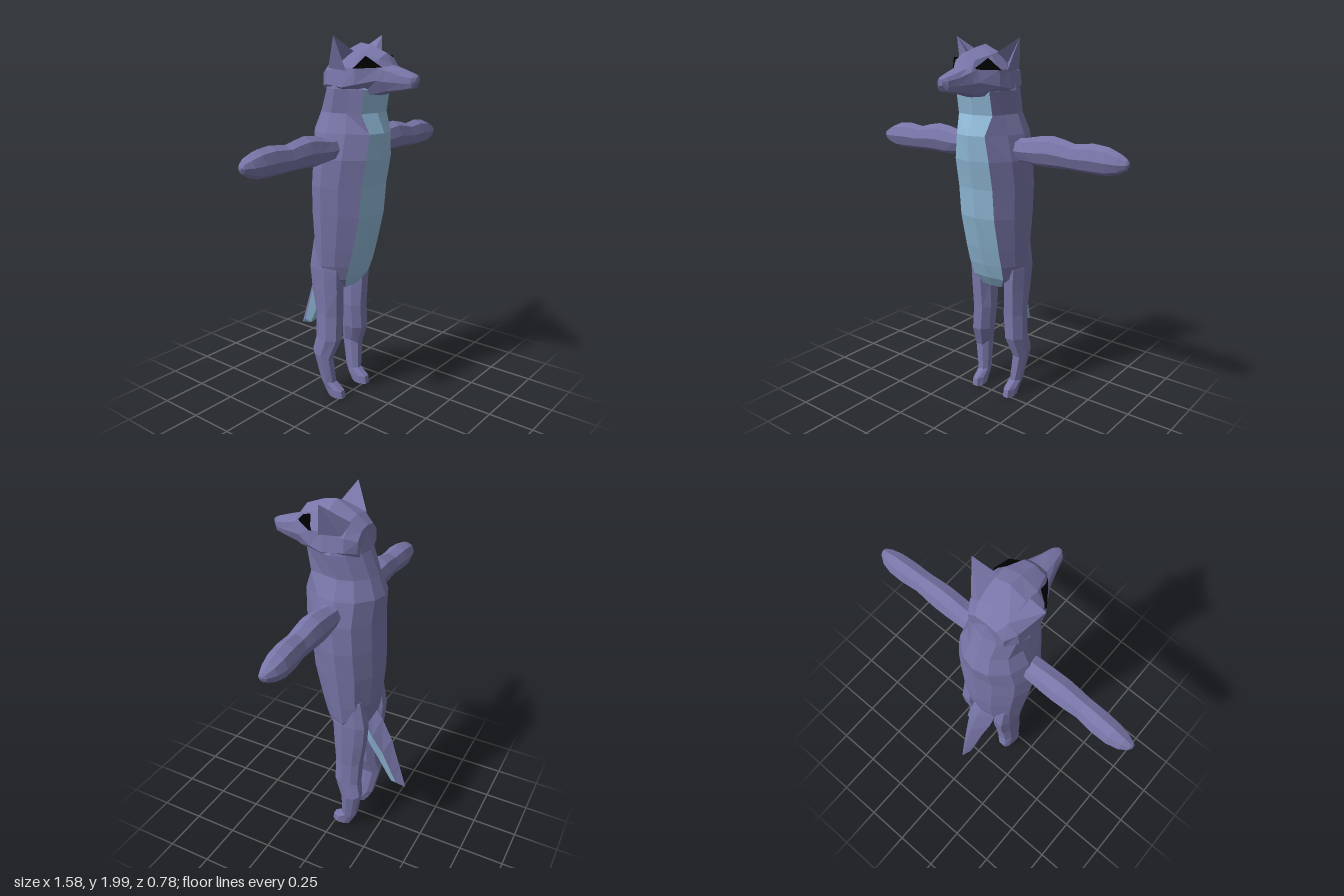
import * as THREE from 'three';

const mat = (color) => new THREE.MeshStandardMaterial({ color, flatShading: true, side: THREE.DoubleSide });

// Skins closed rings of [x, y, z]; returns outward-facing triangles tagged by column (-1 first cap, -2 last cap)
function loft(rings) {
  const n = rings[0].length, tris = [];
  const add = (col, a, b, c) => tris.push({ col, p: [a, b, c] });
  for (let i = 0; i + 1 < rings.length; i++) {
    for (let j = 0; j < n; j++) {
      const k = (j + 1) % n, A = rings[i], B = rings[i + 1];
      add(j, A[j], A[k], B[k]);
      add(j, A[j], B[k], B[j]);
    }
  }
  const cap = (ring, col, flip) => {
    const c = [0, 1, 2].map((a) => ring.reduce((s, p) => s + p[a], 0) / n);
    ring.forEach((p, j) => {
      const q = ring[(j + 1) % n];
      flip ? add(col, c, q, p) : add(col, c, p, q);
    });
  };
  cap(rings[0], -1, true);
  cap(rings[rings.length - 1], -2, false);
  // Signed volume decides the winding
  const v = (a) => new THREE.Vector3(...a);
  const vol = tris.reduce((s, t) => s + v(t.p[0]).dot(v(t.p[1]).cross(v(t.p[2]))), 0);
  if (vol < 0) tris.forEach((t) => t.p.reverse());
  return tris;
}

function skin(name, tris, material, keep = () => true) {
  const g = new THREE.BufferGeometry();
  const pos = tris.filter((t) => keep(t.col)).flatMap((t) => t.p.flat());
  g.setAttribute('position', new THREE.Float32BufferAttribute(pos, 3));
  g.computeVertexNormals();
  const m = new THREE.Mesh(g, material);
  m.name = name;
  return m;
}

// Completes a half section (centre to centre) by mirroring it in x
const mirror = (half) => [...half, ...half.slice(1, -1).reverse().map(([x, y, z]) => [-x, y, z])];

export function createModel() {
  const fur = mat(0x7876a8), pale = mat(0x8fb8d6), black = mat(0x000000);
  const model = new THREE.Group();

  // Torso and neck: height, half width, front z, back z, belly half width
  const torso = loft([
    [1.84, 0.13, 0.1, -0.115, 0.08],
    [1.74, 0.158, 0.175, -0.135, 0.105],
    [1.62, 0.145, 0.155, -0.18, 0.108],
    [1.52, 0.185, 0.2, -0.22, 0.09],
    [1.39, 0.213, 0.19, -0.21, 0.108],
    [1.24, 0.217, 0.16, -0.215, 0.11],
    [1.08, 0.205, 0.145, -0.22, 0.11],
    [0.9, 0.19, 0.1, -0.205, 0.108],
    [0.8, 0.18, 0.07, -0.19, 0.107],
    [0.72, 0.155, 0.04, -0.17, 0.1],
    [0.66, 0.08, 0.0, -0.13, 0.06],
  ].map(([y, w, f, b, p]) => {
    const d = f - b;
    return mirror([
      [0, y, f], [p, y, f - 0.06 * d], [w * 0.86, y, f - 0.3 * d], [w, y, f - 0.55 * d],
      [w * 0.84, y, f - 0.78 * d], [w * 0.42, y, b + 0.05 * d], [0, y, b],
    ]);
  }));
  const isBelly = (c) => c === 0 || c === 11 || c === -2;
  model.add(skin('torso', torso, fur, (c) => !isBelly(c)), skin('belly', torso, pale, isBelly));

  // Head and snout, lofted from the nape to the nose
  const head = loft([
    [-0.115, [0, 1.86], [0.06, 1.85], [0.1, 1.81], [0.1, 1.75], [0.06, 1.71], [0, 1.71]],
    [-0.06, [0, 1.905], [0.085, 1.89], [0.135, 1.83], [0.145, 1.76], [0.1, 1.71], [0, 1.71]],
    [0.05, [0, 1.963], [0.085, 1.925], [0.145, 1.845], [0.158, 1.75], [0.1, 1.705], [0, 1.7]],
    [0.12, [0, 1.95], [0.09, 1.915], [0.14, 1.845], [0.145, 1.765], [0.085, 1.71], [0, 1.7]],
    [0.21, [0, 1.915], [0.06, 1.89], [0.078, 1.845], [0.09, 1.785], [0.065, 1.725], [0, 1.715]],
    [0.245, [0, 1.858], [0.042, 1.853], [0.066, 1.835], [0.074, 1.78], [0.055, 1.735], [0, 1.728]],
    [0.32, [0, 1.838], [0.032, 1.832], [0.047, 1.81], [0.05, 1.775], [0.04, 1.745], [0, 1.74]],
    [0.375, [0, 1.82], [0.022, 1.816], [0.033, 1.8], [0.034, 1.775], [0.028, 1.755], [0, 1.75]],
    [0.395, [0, 1.81], [0.01, 1.808], [0.014, 1.8], [0.014, 1.79], [0.01, 1.78], [0, 1.778]],
  ].map(([z, ...half]) => mirror(half.map(([x, y]) => [x, y, z]))));
  model.add(skin('head', head, fur));

  // Tail, hanging behind with a pale underside
  const tail = loft([
    [0, 0.84, -0.17, 0.075, 0.68, -0.14],
    [0, 0.76, -0.23, 0.075, 0.6, -0.175],
    [0, 0.64, -0.29, 0.055, 0.5, -0.23],
    [0, 0.48, -0.34, 0.04, 0.41, -0.275],
    [0, 0.385, -0.37, 0.03, 0.355, -0.305],
    [0, 0.332, -0.387, 0.004, 0.33, -0.38],
  ].map(([x, ty, tz, w, uy, uz]) => mirror([
    [x, ty, tz], [w, ty * 0.5 + uy * 0.5, tz * 0.5 + uz * 0.5], [w * 0.6, uy, uz], [0, uy, uz],
  ])));
  const under = (c) => c === 2 || c === 3 || c === 1 || c === 4;
  model.add(skin('tail', tail, fur, (c) => !under(c)), skin('tailUnderside', tail, pale, under));

  for (const [side, s] of [['left', 1], ['right', -1]]) {
    // Arm: x, top, bottom, back z, front z
    const arm = loft([
      [0.15, 1.5, 1.385, -0.07, 0.055],
      [0.22, 1.505, 1.378, -0.073, 0.056],
      [0.3, 1.522, 1.368, -0.078, 0.056],
      [0.37, 1.53, 1.37, -0.08, 0.056],
      [0.44, 1.518, 1.372, -0.075, 0.053],
      [0.5, 1.503, 1.372, -0.067, 0.05],
      [0.6, 1.514, 1.366, -0.079, 0.047],
      [0.68, 1.505, 1.367, -0.077, 0.042],
      [0.74, 1.482, 1.383, -0.062, 0.03],
      [0.78, 1.458, 1.408, -0.035, 0.012],
      [0.79, 1.442, 1.428, -0.018, 0.002],
    ].map(([x, t, b, zb, zf]) => Array.from({ length: 8 }, (_, i) => {
      const a = (i * Math.PI) / 4;
      return [s * x, (t + b) / 2 + (Math.cos(a) * (t - b)) / 2, (zf + zb) / 2 + (Math.sin(a) * (zf - zb)) / 2];
    })));
    model.add(skin(side + 'Arm', arm, fur));

    // Leg and foot: height, inner x, outer x, front z, back z, forward tilt of the ring
    const leg = loft([
      [0.93, 0.08, 0.165, -0.02, -0.16, 0],
      [0.77, 0.06, 0.175, 0.0, -0.188, 0],
      [0.65, 0.052, 0.172, -0.003, -0.178, 0],
      [0.5, 0.045, 0.168, -0.01, -0.155, 0],
      [0.36, 0.058, 0.175, -0.01, -0.15, 0],
      [0.26, 0.09, 0.178, -0.055, -0.168, 0.02],
      [0.09, 0.082, 0.15, -0.045, -0.13, 0],
      [0.05, 0.078, 0.146, 0.012, -0.11, 0],
      [0.005, 0.078, 0.143, 0.018, -0.083, 0],
    ].map(([y, xi, xo, f, b, tilt]) => {
      const m = (xi + xo) / 2, d = f - b, q = (xo - xi) * 0.24;
      return [
        [m - q, f, -1], [m + q, f, -1], [xo, f - 0.35 * d, 0], [xo - q * 0.3, f - 0.75 * d, 0],
        [m + q, b, 1], [m - q, b, 1], [xi, f - 0.7 * d, 0], [xi, f - 0.3 * d, 0],
      ].map(([x, z, k]) => [s * x, y + k * tilt, z]);
    }));
    model.add(skin(side + 'Leg', leg, fur));

    // Ear with a hollow front
    const tip = [s * 0.2, 1.998, 0.035];
    const ear = loft([
      [[s * 0.075, 1.915, 0.075], [s * 0.118, 1.875, 0.02], [s * 0.147, 1.83, 0.07],
        [s * 0.138, 1.84, -0.05], [s * 0.08, 1.89, -0.07]],
      Array(5).fill(tip),
    ]);
    model.add(skin(side + 'Ear', ear, fur));

    // Eye: a thin dark wedge lying on the cheek
    const eye = [[0.064, 1.848, 0.228], [0.108, 1.9, 0.168], [0.15, 1.842, 0.115]];
    model.add(skin(side + 'Eye', loft([
      eye.map(([x, y, z]) => [s * x, y, z]),
      eye.map(([x, y, z]) => [s * (x - 0.02), y, z - 0.025]),
    ]), black));
  }
  return model;
}
